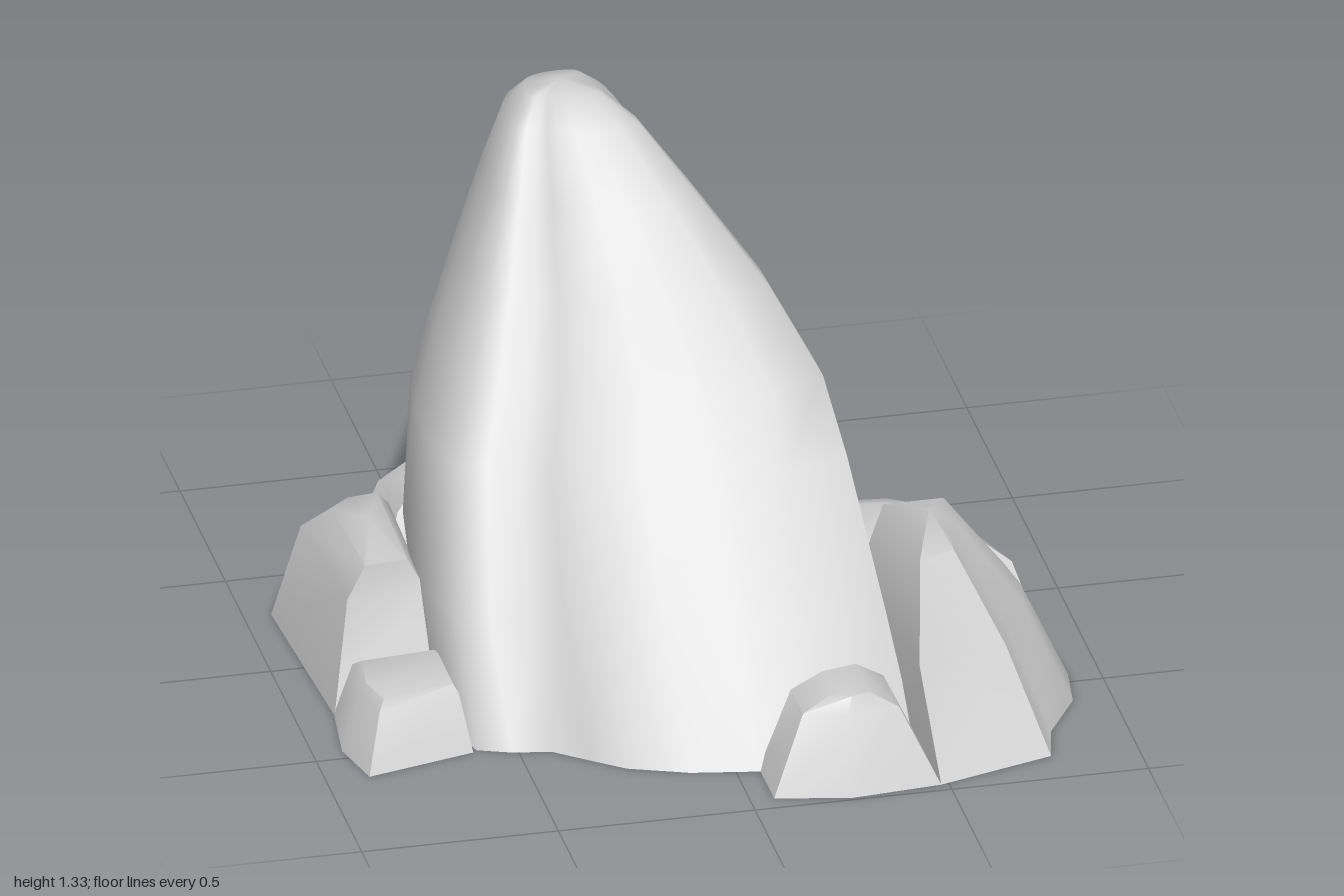
import * as THREE from 'three';
import { toCreasedNormals } from 'three/addons/utils/BufferGeometryUtils.js';

const material = new THREE.MeshStandardMaterial({ color: 0xcccccc, side: THREE.DoubleSide });

// Stack a ground outline of [x, z] points upwards, fitting it to the box
// [y, xMin, xMax, zMin, zMax] of each level. The peak closes it; the bottom stays open.
function boulder(name, outline, levels, peak, crease = 0.7, smooth = 1) {
  let base = outline.map(([x, z]) => new THREE.Vector3(x, 0, z));
  const { min, max } = new THREE.Box3().setFromPoints(base);
  if (smooth > 1) {
    const curve = new THREE.CatmullRomCurve3(base, true, 'centripetal');
    const count = base.length * smooth;
    base = Array.from({ length: count }, (_, i) => curve.getPoint(i / count));
  }
  const points = [...base];
  for (const [y, x0, x1, z0, z1] of levels) {
    for (const p of base) {
      points.push(new THREE.Vector3(
        THREE.MathUtils.mapLinear(p.x, min.x, max.x, x0, x1),
        y,
        THREE.MathUtils.mapLinear(p.z, min.z, max.z, z0, z1),
      ));
    }
  }
  const [, x0, x1, z0, z1] = levels[levels.length - 1];
  points.push(new THREE.Vector3((x0 + x1) / 2, peak, (z0 + z1) / 2));

  const n = base.length;
  const index = [];
  for (let r = 0; r <= levels.length; r++) {
    for (let i = 0; i < n; i++) {
      const a = r * n + i;
      const b = r * n + (i + 1) % n;
      if (r === levels.length) index.push(a, b, points.length - 1);
      else index.push(a, b, b + n, a, b + n, a + n);
    }
  }
  const geometry = new THREE.BufferGeometry().setFromPoints(points);
  geometry.setIndex(index);
  const mesh = new THREE.Mesh(toCreasedNormals(geometry, crease), material);
  mesh.name = name;
  return mesh;
}

export function createModel() {
  const group = new THREE.Group();
  group.name = 'rockFormation';

  // Tall smooth rock leaning towards the back, narrower behind than in front
  group.add(boulder('mainRock',
    [[-0.6, 0.53], [-0.42, 0.58], [-0.26, 0.71], [0.06, 0.8], [0.47, 0.75], [0.4, 0.3],
      [0.33, -0.22], [0.24, -0.43], [-0.04, -0.48], [-0.32, -0.43], [-0.53, -0.28], [-0.63, 0.1]],
    [
      [0.28, -0.64, 0.435, -0.585, 0.6],
      [0.59, -0.59, 0.395, -0.655, 0.34],
      [0.75, -0.52, 0.365, -0.675, 0.2],
      [0.92, -0.44, 0.27, -0.685, 0.02],
      [1.1, -0.36, 0.13, -0.665, -0.16],
      [1.25, -0.3, 0.01, -0.6, -0.3],
      [1.31, -0.25, -0.07, -0.53, -0.38],
    ], 1.33, 1.1, 2));

  // Faceted rocks on the left side
  group.add(boulder('leftFrontRock',
    [[0.48, 0.97], [0.78, 0.88], [0.81, 0.75], [0.9, 0.6], [0.92, 0.46], [0.9, 0.31], [0.42, 0.31], [0.46, 0.75]],
    [[0.24, 0.42, 0.81, 0.29, 0.79], [0.46, 0.48, 0.64, 0.33, 0.65]], 0.52));
  group.add(boulder('leftRearRock',
    [[0.4, 0.31], [0.9, 0.32], [0.82, 0.05], [0.65, -0.08], [0.48, -0.1], [0.33, -0.09]],
    [[0.21, 0.33, 0.83, -0.11, 0.23], [0.29, 0.38, 0.72, -0.03, 0.19]], 0.33));

  // Small arched rock against the front edge
  group.add(boulder('frontRock',
    [[0.06, 0.78], [0.06, 0.95], [0.25, 0.99], [0.48, 0.97], [0.48, 0.75]],
    [[0.19, 0.15, 0.39, 0.72, 0.91], [0.23, 0.23, 0.32, 0.72, 0.89]], 0.235));

  // Low rocks on the right side
  group.add(boulder('rightFrontRock',
    [[-0.89, 0.61], [-0.61, 0.54], [-0.61, 0.23], [-0.9, 0.26], [-0.925, 0.46]],
    [[0.13, -0.87, -0.63, 0.23, 0.52], [0.15, -0.85, -0.64, 0.26, 0.49]], 0.15));
  group.add(boulder('rightMiddleRock',
    [[-0.9, 0.27], [-0.62, 0.25], [-0.6, -0.4], [-0.8, -0.38], [-0.93, -0.3]],
    [[0.25, -0.86, -0.62, -0.35, 0.14], [0.33, -0.8, -0.67, -0.26, 0.12]], 0.36));

  // Rocks along the back
  group.add(boulder('rightRearRock',
    [[-0.62, -0.42], [-0.2, -0.46], [-0.2, -0.83], [-0.28, -0.87], [-0.46, -0.82], [-0.63, -0.68]],
    [[0.14, -0.57, -0.25, -0.81, -0.5], [0.2, -0.5, -0.27, -0.73, -0.56]], 0.21));
  group.add(boulder('backRock',
    [[-0.13, -0.52], [0.26, -0.5], [0.5, -0.48], [0.47, -0.87], [0.25, -0.98], [0.15, -1], [-0.1, -0.94], [-0.13, -0.75]],
    [[0.24, -0.12, 0.43, -0.985, -0.6], [0.35, -0.04, 0.36, -0.965, -0.67]], 0.4));

  return group;
}
